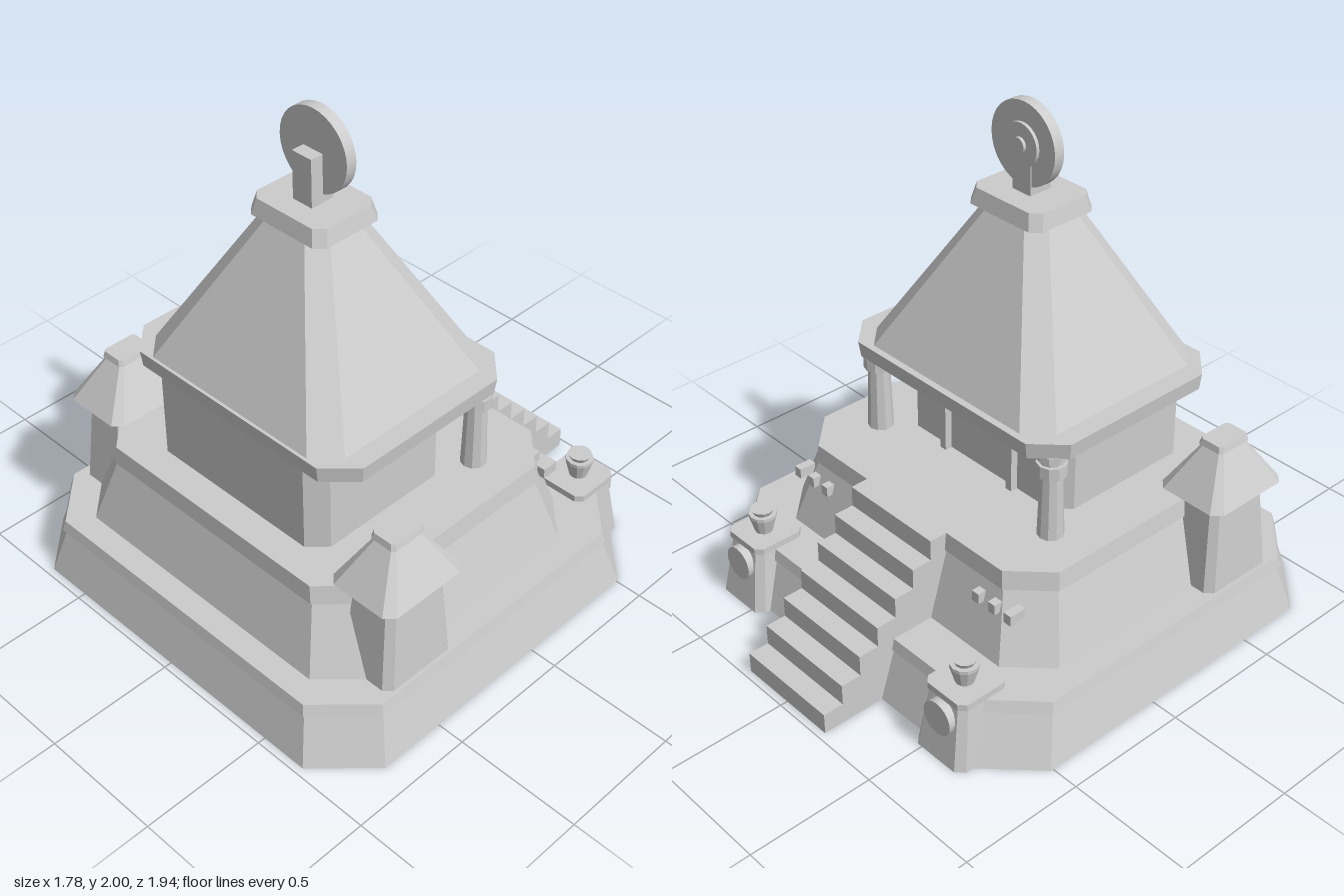
import * as THREE from 'three';

const stone = new THREE.MeshStandardMaterial({ color: 0xcccccc, side: THREE.DoubleSide });
stone.name = 'stone';

// Corners of a rectangle with cut corners: half width, back z, front z, corner cut
function ring(cx, y, [hx, z0, z1, c]) {
  return [
    [hx, z1 - c], [hx, z0 + c], [hx - c, z0], [c - hx, z0],
    [-hx, z0 + c], [-hx, z1 - c], [c - hx, z1], [hx - c, z1],
  ].map(([x, z]) => [cx + x, y, z]);
}

// Tapered block between two cut-corner rectangles, flat shaded
function block(cx, y0, lower, y1, upper, openBottom = false) {
  const a = ring(cx, y0, lower), b = ring(cx, y1, upper), pos = [];
  const tri = (...pts) => pts.forEach((p) => pos.push(...p));
  for (let i = 0; i < 8; i++) {
    const j = (i + 1) % 8;
    tri(a[i], a[j], b[j]);
    tri(a[i], b[j], b[i]);
    if (i > 0 && i < 7) {
      tri(b[0], b[i], b[j]);
      if (!openBottom) tri(a[0], a[j], a[i]);
    }
  }
  const g = new THREE.BufferGeometry();
  g.setAttribute('position', new THREE.Float32BufferAttribute(pos, 3));
  g.computeVertexNormals();
  return g;
}

function box(x0, x1, y0, y1, z0, z1) {
  return new THREE.BoxGeometry(x1 - x0, y1 - y0, z1 - z0)
    .translate((x0 + x1) / 2, (y0 + y1) / 2, (z0 + z1) / 2);
}

// Disc facing along z
function disc(x, y, r, z0, z1, sides = 24) {
  return new THREE.CylinderGeometry(r, r, z1 - z0, sides).rotateX(Math.PI / 2)
    .translate(x, y, (z0 + z1) / 2);
}

// Faceted turned part
function turned(points, sides, x, z) {
  const g = new THREE.LatheGeometry(points.map(([r, y]) => new THREE.Vector2(r, y)), sides).toNonIndexed();
  g.computeVertexNormals();
  return g.translate(x, 0, z);
}

export function createModel() {
  const model = new THREE.Group();
  model.name = 'temple';
  const add = (name, geometry) => {
    const mesh = new THREE.Mesh(geometry, stone);
    mesh.name = name;
    model.add(mesh);
  };

  // Lower terrace, hollow underneath
  add('lowerTerrace', block(0, 0, [0.89, -0.71, 0.97, 0.2], 0.2, [0.835, -0.645, 0.915, 0.19], true));
  add('lowerTerraceRim', block(0, 0.2, [0.845, -0.655, 0.93, 0.19], 0.245, [0.835, -0.645, 0.92, 0.19]));

  // Upper terrace
  add('upperTerrace', block(0, 0.245, [0.73, -0.47, 0.825, 0.15], 0.515, [0.65, -0.39, 0.745, 0.135]));
  add('upperTerraceRim', block(0, 0.515, [0.66, -0.4, 0.757, 0.14], 0.588, [0.65, -0.393, 0.75, 0.14]));

  // Hall and its back doorway
  add('hall', block(0, 0.588, [0.425, -0.025, 0.63, 0.065], 0.945, [0.425, -0.025, 0.63, 0.065]));
  for (const s of [-1, 1]) {
    add('doorPost', box(s * 0.18 - 0.015, s * 0.18 + 0.015, 0.588, 0.945, -0.055, -0.02));
  }
  add('doorBoss', disc(0, 0.853, 0.022, -0.06, -0.02, 12));

  // Roof
  add('eave', block(0, 0.945, [0.55, -0.22, 0.642, 0.105], 1.01, [0.558, -0.23, 0.65, 0.11]));
  add('roof', block(0, 1.01, [0.48, -0.203, 0.638, 0.09], 1.6, [0.15, 0.095, 0.345, 0.06]));
  add('roofCap', block(0, 1.595, [0.182, 0.06, 0.365, 0.035], 1.658, [0.168, 0.075, 0.35, 0.035]));

  // Wheel on its stand
  add('wheelStand', box(-0.045, 0.045, 1.65, 1.845, 0.166, 0.265));
  add('wheel', disc(0, 1.842, 0.158, 0.17, 0.213, 32));
  add('wheelRing', disc(0, 1.842, 0.082, 0.157, 0.175));
  add('wheelHub', disc(0, 1.842, 0.03, 0.145, 0.175, 16));

  // Staircase at the back
  const rise = 0.588 / 7, run = 0.084;
  for (let i = 0; i < 7; i++) {
    const front = -0.97 + i * run;
    add('step', box(-0.22, 0.22, 0, rise * (i + 1), i === 6 ? -0.385 : front + run, front));
  }

  for (const s of [-1, 1]) {
    // Corner towers
    const tx = s * 0.697;
    add('tower', block(tx, 0.2, [0.127, 0.355, 0.692, 0.03], 0.62, [0.097, 0.385, 0.65, 0.025]));
    add('towerRoof', block(tx, 0.62, [0.148, 0.337, 0.71, 0.035], 0.8, [0.047, 0.455, 0.588, 0.012]));
    add('towerCap', block(tx, 0.8, [0.057, 0.442, 0.6, 0.012], 0.825, [0.051, 0.448, 0.594, 0.012]));

    // Porch columns
    add('column', turned([
      [0, 0.588], [0.05, 0.588], [0.042, 0.85], [0.058, 0.85], [0.058, 0.9],
      [0.046, 0.9], [0.046, 0.922], [0.062, 0.922], [0.062, 0.947], [0, 0.947],
    ], 10, s * 0.468, -0.12));

    // Gate pillars with round plaques and urns
    const px = s * 0.575;
    add('gatePillar', block(px, 0, [0.125, -0.762, -0.5, 0.03], 0.25, [0.095, -0.72, -0.52, 0.025]));
    add('gatePillarTop', block(px, 0.25, [0.102, -0.728, -0.51, 0.025], 0.277, [0.102, -0.728, -0.51, 0.025]));
    add('plaque', disc(px, 0.18, 0.068, -0.755, -0.72, 20));
    add('urn', turned([
      [0, 0.277], [0.035, 0.277], [0.054, 0.345], [0.054, 0.358],
      [0.036, 0.358], [0.046, 0.378], [0, 0.378],
    ], 12, px, -0.625));

    // Small blocks on the upper terrace wall
    for (const x of [0.425, 0.507, 0.588]) {
      add('wallBlock', box(s * x - 0.017, s * x + 0.017, 0.425, 0.467, -0.44, -0.37));
    }
  }
  return model;
}
